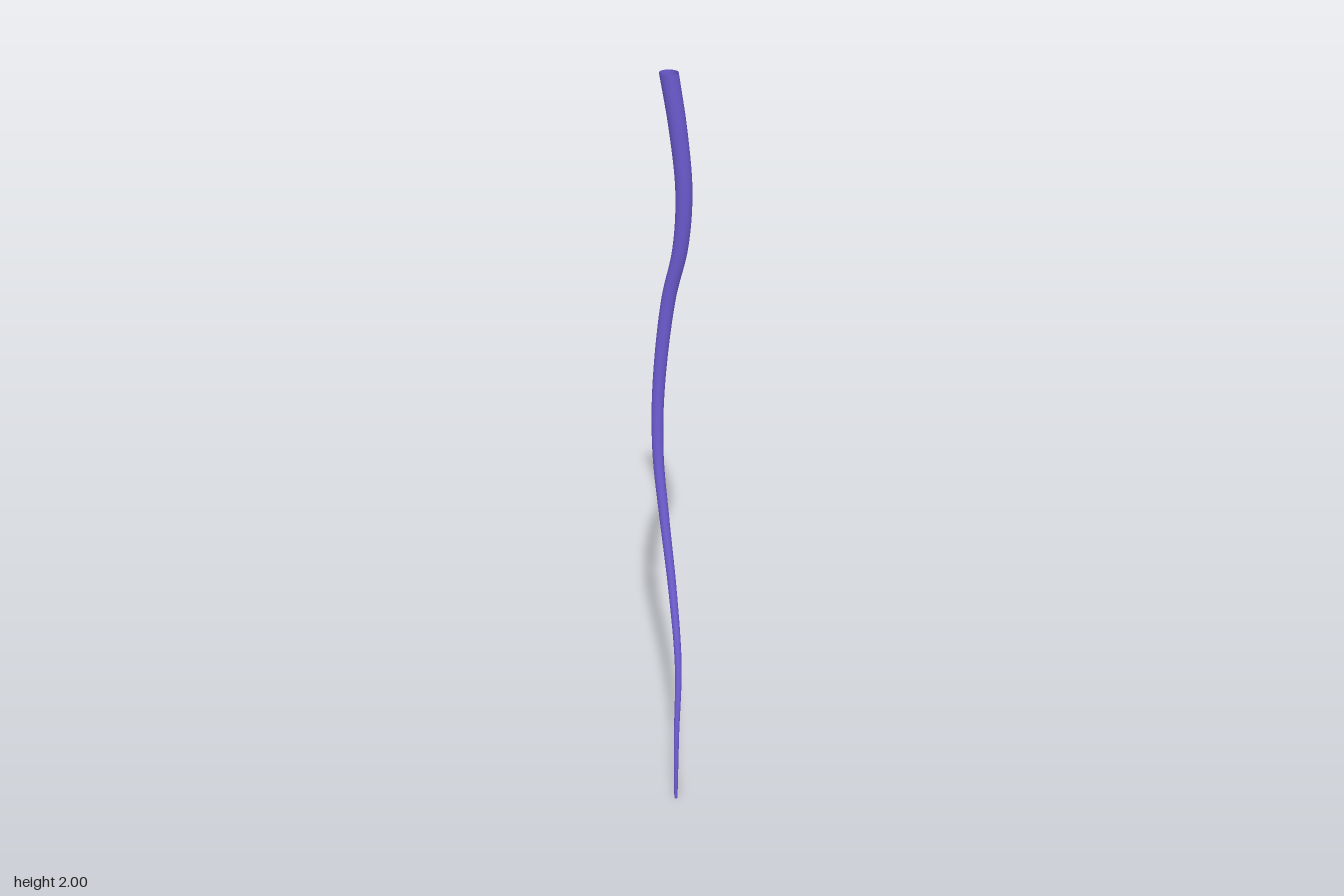
import * as THREE from 'three';
import { mergeVertices } from 'three/addons/utils/BufferGeometryUtils.js';

// Centre line of the strand, from the thin tip at the ground to the wide open end
const PATH = [
  [0.092, 0, 0.128], [0.081, 0.2, 0.105], [0.059, 0.4, 0.056], [0.012, 0.6, 0.003],
  [-0.037, 0.8, -0.039], [-0.069, 0.97, -0.064], [-0.079, 1.15, -0.085], [-0.062, 1.4, -0.107],
  [-0.03, 1.55, -0.112], [-0.019, 1.7, -0.109], [-0.031, 1.86, -0.1], [-0.05, 2, -0.089],
];

export function createModel() {
  const group = new THREE.Group();
  const curve = new THREE.CatmullRomCurve3(PATH.map((p) => new THREE.Vector3(...p)));

  // Open cylinder, each ring tapered and moved onto the centre line
  let geometry = new THREE.CylinderGeometry(1, 1, 1, 24, 96, true);
  const pos = geometry.attributes.position;
  const centre = new THREE.Vector3();
  for (let i = 0; i < pos.count; i++) {
    curve.getPoint(THREE.MathUtils.clamp(pos.getY(i) + 0.5, 0, 1), centre);
    const radius = 0.0045 + 0.019 * Math.pow(Math.max(centre.y, 0) / 2, 0.85);
    pos.setXYZ(i, centre.x + pos.getX(i) * radius, centre.y, centre.z + pos.getZ(i) * radius);
  }

  // Weld the seam so the shading is smooth all round
  geometry.deleteAttribute('uv');
  geometry.deleteAttribute('normal');
  geometry = mergeVertices(geometry, 1e-5);
  geometry.computeVertexNormals();

  const strand = new THREE.Mesh(
    geometry,
    new THREE.MeshStandardMaterial({ color: 0x6a5acd, side: THREE.DoubleSide }),
  );
  strand.name = 'taperedStrand';
  group.add(strand);
  return group;
}
